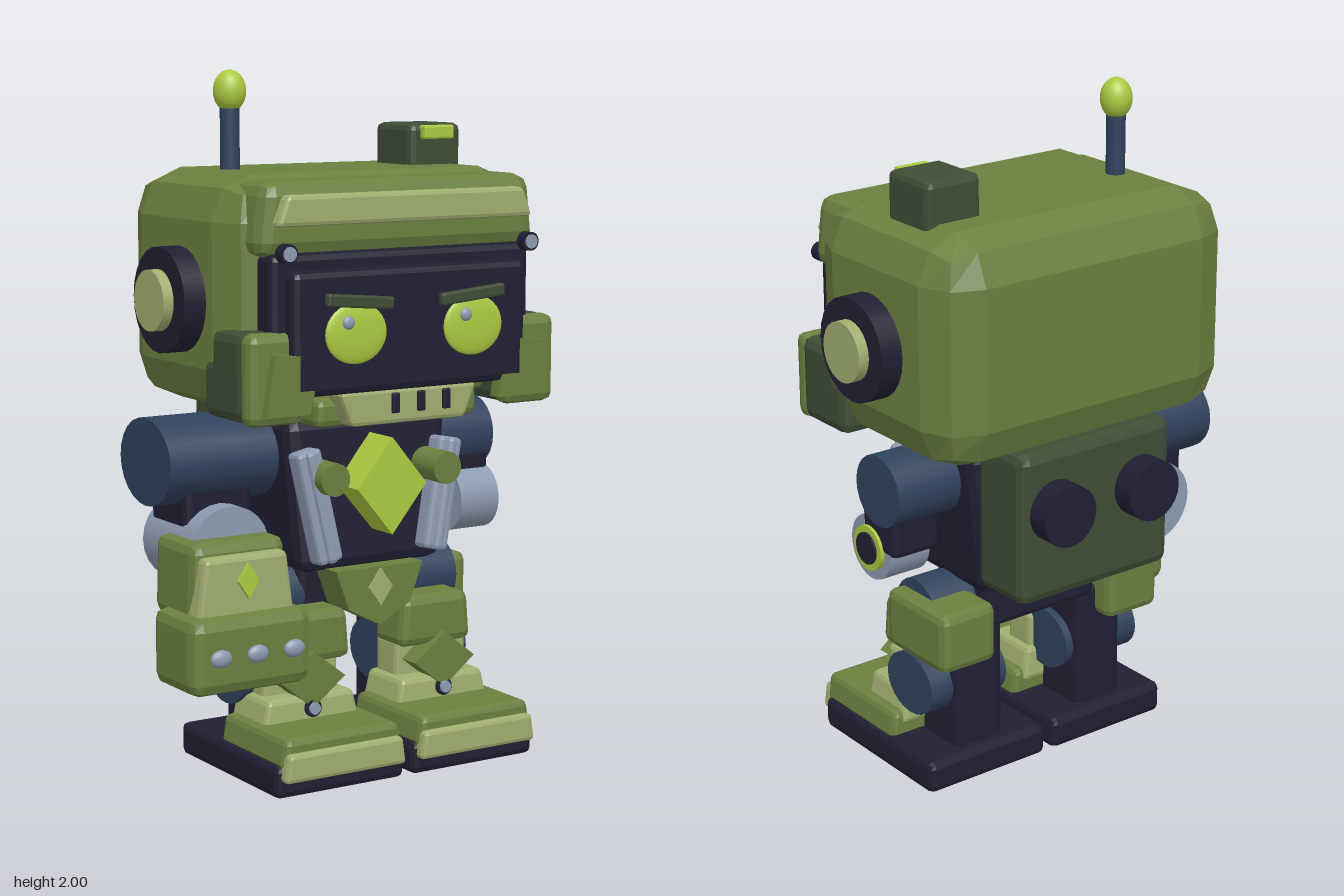
import * as THREE from 'three';
import { RoundedBoxGeometry } from 'three/addons/geometries/RoundedBoxGeometry.js';

const mat = (name, color) => {
  const m = new THREE.MeshStandardMaterial({ color });
  m.name = name;
  return m;
};

export function createModel() {
  const green = mat('armour green', 0x6b8040), olive = mat('dark olive', 0x3f4d35);
  const pale = mat('pale green', 0xa0ae70), lime = mat('lime glow', 0xabca40);
  const dark = mat('dark frame', 0x201f32), blue = mat('navy blue', 0x30425c);
  const grey = mat('steel grey', 0x8c9bb0);

  const root = new THREE.Group();
  root.name = 'robot';
  const body = new THREE.Group();
  body.name = 'body';
  body.position.x = 0.025; // the right arm reaches further out than the left
  root.add(body);

  const add = (name, geometry, material, x, y, z) => {
    const mesh = new THREE.Mesh(geometry, material);
    mesh.name = name;
    mesh.position.set(x, y, z);
    body.add(mesh);
    return mesh;
  };

  // Faceted bevelled block given by its extents; topX and topZ taper its upper end
  const block = (name, material, [x0, x1], [y0, y1], [z0, z1], r = 0.02, topX = 1, topZ = 1) => {
    const h = y1 - y0;
    const g = new RoundedBoxGeometry(Math.abs(x1 - x0), h, z1 - z0, 1, r);
    const p = g.attributes.position;
    for (let i = 0; i < p.count; i++) {
      const f = p.getY(i) / h + 0.5;
      p.setX(i, p.getX(i) * (1 + (topX - 1) * f));
      p.setZ(i, p.getZ(i) * (1 + (topZ - 1) * f));
    }
    g.computeVertexNormals();
    return add(name, g, material, (x0 + x1) / 2, (y0 + y1) / 2, (z0 + z1) / 2);
  };

  // Cylinder between two positions along one axis
  const rod = (name, material, axis, from, to, a, b, r) => {
    const g = new THREE.CylinderGeometry(r, r, Math.abs(to - from), 24);
    const mid = (from + to) / 2;
    if (axis === 'x') return add(name, g.rotateZ(Math.PI / 2), material, mid, a, b);
    if (axis === 'z') return add(name, g.rotateX(Math.PI / 2), material, a, b, mid);
    return add(name, g, material, a, mid, b);
  };

  const ball = (name, material, x, y, z, rx, ry, rz) => {
    const mesh = add(name, new THREE.SphereGeometry(1, 24, 16), material, x, y, z);
    mesh.scale.set(rx, ry, rz);
    return mesh;
  };

  // Flat plate with a polygon outline, from z0 to z1
  const plate = (name, material, points, x, y, z0, z1) => {
    const shape = new THREE.Shape(points.map(([px, py]) => new THREE.Vector2(px, py)));
    const g = new THREE.ExtrudeGeometry(shape, { depth: z1 - z0, bevelEnabled: false });
    return add(name, g, material, x, y, z0);
  };
  const diamond = (name, material, w, h, x, y, z0, z1) =>
    plate(name, material, [[0, -h], [w, 0], [0, h], [-w, 0]], x, y, z0, z1);

  // Head
  block('head', green, [-0.51, 0.51], [1.05, 1.72], [-0.37, 0.3], 0.13);
  block('visor', green, [-0.465, 0.465], [1.5, 1.705], [0.12, 0.345], 0.04, 0.95);
  block('visorPlate', pale, [-0.425, 0.425], [1.585, 1.67], [0.32, 0.38], 0.012, 0.92);
  block('faceFrame', dark, [-0.43, 0.43], [1.12, 1.51], [0.2, 0.355], 0.02);
  block('faceScreen', dark, [-0.388, 0.388], [1.12, 1.465], [0.33, 0.4], 0.02);
  block('jaw', green, [-0.27, 0.27], [1.02, 1.1], [0.15, 0.33], 0.02);
  block('mouth', pale, [-0.19, 0.19], [1.025, 1.125], [0.3, 0.385], 0.012, 1.22);
  for (const x of [-0.085, 0, 0.085])
    block('mouthSlot', dark, [x - 0.012, x + 0.012], [1.065, 1.122], [0.435, 0.447], 0.004);
  rod('neck', dark, 'y', 0.98, 1.08, 0, 0, 0.12);

  for (const s of [-1, 1]) {
    const side = s > 0 ? 'left' : 'right';
    rod(side + 'EarRing', dark, 'x', s * 0.48, s * 0.577, 1.365, -0.014, 0.15);
    rod(side + 'EarCap', pale, 'x', s * 0.56, s * 0.609, 1.365, -0.014, 0.087);
    block(side + 'CheekGuard', olive, [s * 0.33, s * 0.516], [1.05, 1.22], [0.12, 0.34], 0.03);
    block(side + 'CheekFront', olive, [s * 0.33, s * 0.516], [1.05, 1.3], [0.16, 0.34], 0.03);
    block(side + 'CheekCover', green, [s * 0.335, s * 0.512], [1.045, 1.3], [0.31, 0.375], 0.025);
    plate(side + 'CheekPlate', green,
      [[-0.05, -0.085], [0.09, -0.085], [0.06, 0.085], [-0.085, 0.07]].map(([x, y]) => [x * -1, y]).reverse(),
      s * 0.385, 1.16, 0.36, 0.4).scale.x = 1;
    rod(side + 'VisorBoltRing', dark, 'z', 0.37, 0.402, s * 0.402, 1.515, 0.027);
    rod(side + 'VisorBolt', grey, 'z', 0.39, 0.407, s * 0.402, 1.515, 0.02);
    ball(side + 'Eye', lime, s * 0.195, 1.29, 0.41, 0.1, 0.085, 0.015);
    ball(side + 'EyeGlint', grey, s * 0.195 - 0.032, 1.322, 0.422, 0.019, 0.019, 0.011);
    const brow = block(side + 'Brow', olive, [s * 0.08, s * 0.295], [1.36, 1.395], [0.405, 0.428], 0.006);
    brow.rotation.z = s * 0.09;
  }

  // Antenna and roof lamp
  rod('antennaStem', blue, 'y', 1.68, 1.9, -0.326, -0.048, 0.028);
  ball('antennaTip', lime, -0.326, 1.94, -0.048, 0.047, 0.06, 0.047);
  block('roofBox', olive, [0.237, 0.418], [1.68, 1.84], [-0.16, 0.03], 0.02);
  block('roofLamp', lime, [0.272, 0.378], [1.795, 1.835], [0.02, 0.053], 0.006);

  // Torso
  block('torso', dark, [-0.242, 0.242], [0.58, 1.025], [-0.18, 0.2], 0.035, 1.14, 0.86);
  block('pelvis', dark, [-0.2, 0.2], [0.45, 0.62], [-0.13, 0.12], 0.02);
  plate('pelvisGuard', green,
    [[-0.105, -0.055], [0, -0.11], [0.105, -0.055], [0.148, 0.06], [-0.148, 0.06]], 0, 0.525, 0.12, 0.235);
  diamond('pelvisGem', pale, 0.04, 0.055, 0, 0.527, 0.225, 0.243);
  diamond('chestGem', lime, 0.116, 0.14, 0, 0.83, 0.18, 0.3);
  block('backpack', olive, [-0.27, 0.27], [0.63, 1.085], [-0.38, -0.17], 0.03);

  for (const s of [-1, 1]) {
    const side = s > 0 ? 'left' : 'right';
    rod(side + 'BackThruster', dark, 'z', -0.45, -0.36, s * 0.152, 0.905, 0.09);
    rod(side + 'ChestBolt', green, 'z', 0.15, 0.3, s * 0.19, 0.865, 0.047);
    for (const [name, w, z0, z1] of [['ChestBar', 0.04, 0.19, 0.255], ['ChestBarRidge', 0.016, 0.2, 0.268]]) {
      const bar = block(side + name, grey, [s * 0.21 - w, s * 0.21 + w], [0.615, 0.945], [z0, z1], 0.012);
      bar.rotation.set(-0.06, 0, -s * 0.2);
    }
  }

  // Right arm with the heavy fist
  rod('rightShoulder', blue, 'x', -0.636, -0.29, 0.915, 0.007, 0.125).scale.z = 1.2;
  block('rightElbow', dark, [-0.57, -0.355], [0.66, 0.88], [-0.09, 0.12], 0.02);
  rod('rightCuff', grey, 'z', -0.1, 0.18, -0.463, 0.672, 0.127);
  block('rightForearm', green, [-0.625, -0.315], [0.49, 0.715], [0.02, 0.25], 0.03, 0.95);
  block('rightForearmPlate', pale, [-0.625, -0.315], [0.5, 0.68], [0.2, 0.285], 0.015, 0.84);
  diamond('rightForearmGem', lime, 0.033, 0.05, -0.47, 0.61, 0.28, 0.297);
  block('rightFist', green, [-0.66, -0.277], [0.3, 0.52], [0.075, 0.32], 0.035);
  for (const x of [-0.588, -0.472, -0.355])
    ball('rightKnuckle', grey, x, 0.415, 0.345, 0.033, 0.025, 0.016);

  // Left arm with the round emitter
  rod('leftShoulder', blue, 'x', 0.27, 0.483, 0.915, 0.01, 0.107);
  block('leftElbow', dark, [0.32, 0.48], [0.72, 0.9], [-0.06, 0.1], 0.02);
  rod('leftEmitter', grey, 'x', 0.34, 0.476, 0.725, 0.06, 0.098);
  rod('leftEmitterRing', lime, 'x', 0.46, 0.49, 0.725, 0.06, 0.068);
  rod('leftEmitterCore', dark, 'x', 0.47, 0.496, 0.725, 0.06, 0.048);

  // Legs
  for (const s of [-1, 1]) {
    const side = s > 0 ? 'left' : 'right';
    const x = s * 0.226;
    rod(side + 'Hip', blue, 'x', s * 0.12, s * 0.35, 0.5, 0.02, 0.1);
    block(side + 'HipPad', green, [s * 0.21, s * 0.402], [0.38, 0.562], [-0.185, 0.1], 0.025);
    block(side + 'ThighGuard', green, [s * 0.085, s * 0.338], [0.325, 0.475], [0.07, 0.22], 0.025, 0.9);
    rod(side + 'Knee', blue, 'x', s * 0.115, s * 0.385, 0.28, 0.01, 0.094).scale.z = 1.2;
    block(side + 'Leg', dark, [s * 0.14, s * 0.31], [0.08, 0.48], [-0.12, 0.06], 0.02);
    block(side + 'Shin', pale, [x - 0.125, x + 0.125], [0.2, 0.34], [0.06, 0.17], 0.015);
    diamond(side + 'KneeGuard', green, 0.105, 0.082, x, 0.283, 0.13, 0.24);
    block(side + 'Instep', pale, [x - 0.165, x + 0.165], [0.13, 0.235], [0.04, 0.235], 0.015, 0.86, 0.92);
    rod(side + 'AnkleBoltRing', dark, 'z', 0.2, 0.24, x, 0.2, 0.026);
    rod(side + 'AnkleBolt', grey, 'z', 0.23, 0.25, x, 0.2, 0.017);
    block(side + 'Sole', dark, [x - 0.212, x + 0.212], [0, 0.097], [-0.165, 0.39], 0.02);
    block(side + 'FootTop', green, [x - 0.2, x + 0.2], [0.08, 0.17], [0.05, 0.4], 0.018, 0.93);
    block(side + 'ToePlate', pale, [x - 0.2, x + 0.2], [0.05, 0.132], [0.36, 0.42], 0.012, 0.94);
  }

  return root;
}
